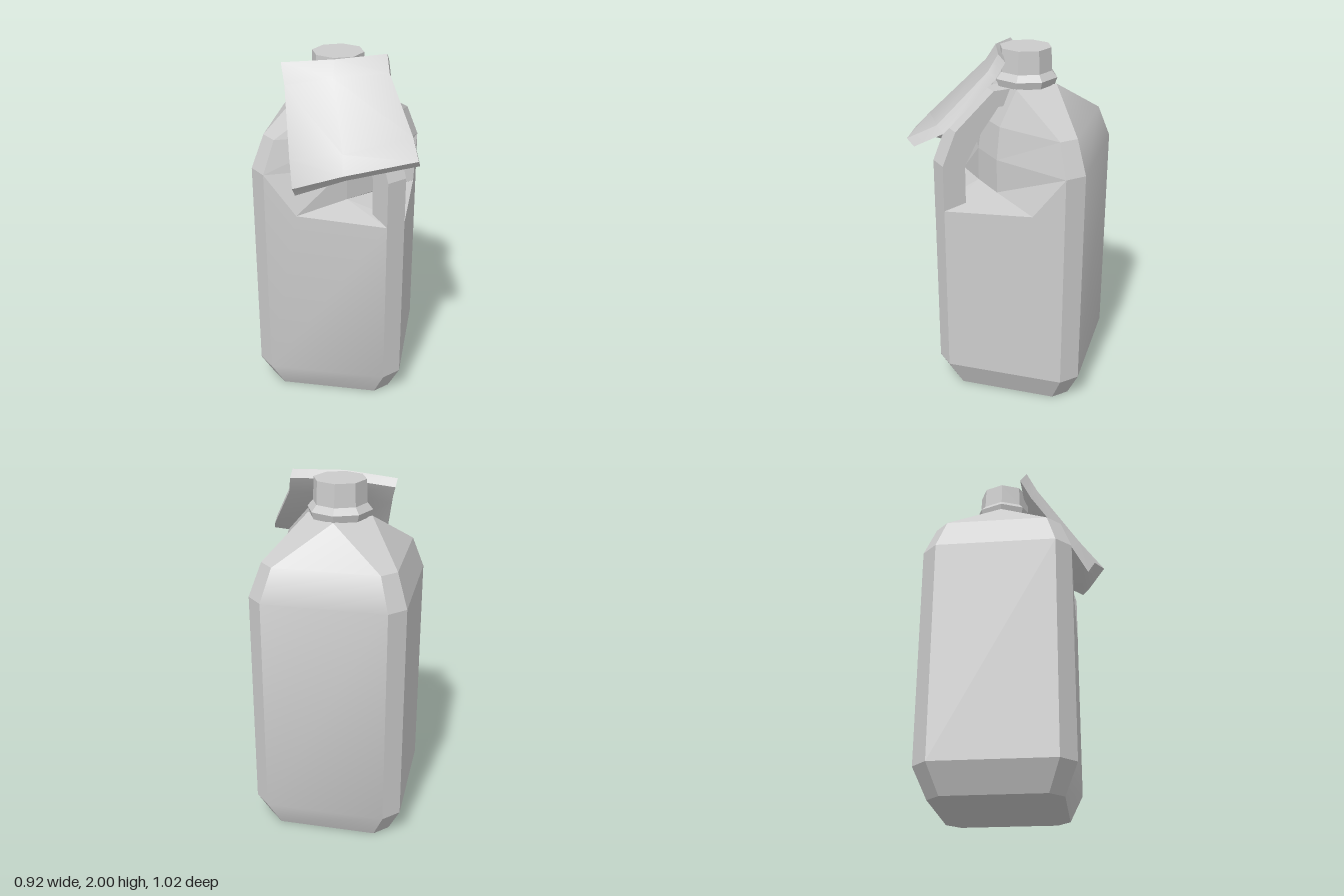
import * as THREE from 'three';
import { toCreasedNormals } from 'three/addons/utils/BufferGeometryUtils.js';

const V = (x, y, z) => new THREE.Vector3(x, y, z);

// Geometry from convex polygons (corners counter-clockwise), each split as a fan
function fromPolygons(polygons, crease) {
  const pos = [];
  for (const p of polygons) {
    for (let i = 1; i < p.length - 1; i++) {
      const tri = [p[0], p[i], p[i + 1]];
      if (new THREE.Triangle(...tri).getArea() < 1e-6) continue;
      for (const v of tri) pos.push(v.x, v.y, v.z);
    }
  }
  const g = new THREE.BufferGeometry();
  g.setAttribute('position', new THREE.Float32BufferAttribute(pos, 3));
  g.computeVertexNormals();
  return toCreasedNormals(g, crease);
}

// Chamfered square: front, right, back, left edges in turn
function ring(y, h, i) {
  return [[-i, h], [i, h], [h, i], [h, -i], [i, -h], [-i, -h], [-h, -i], [-h, i]]
    .map(([x, z]) => V(x, y, z));
}

export function createModel() {
  const model = new THREE.Group();
  const jug = new THREE.Group();
  jug.name = 'jug';
  jug.position.set(-0.04, 0, -0.09);
  model.add(jug);

  const add = (parent, name, geometry, flatShading = false) => {
    const mesh = new THREE.Mesh(geometry, new THREE.MeshStandardMaterial({ color: 0xcccccc, flatShading }));
    mesh.name = name;
    parent.add(mesh);
    return mesh;
  };

  // Body rings from base to neck; the front right corner steps in above the ledge
  const base = ring(0, 0.35, 0.275);
  const low = ring(0.16, 0.42, 0.335);
  const high = ring(1.41, 0.42, 0.335);
  const shoulder = ring(1.59, 0.36, 0.285);
  const neck = ring(1.79, 0.175, 0);
  const recess = (r, y, a, b) => { r[1] = V(a, y, b); r[2] = V(b, y, a); };
  recess(high, 1.41, 0.09, 0.245);
  recess(shoulder, 1.59, 0.08, 0.22);

  // Ledge corners under the handle
  const ledgeA = V(-0.16, 1.18, 0.42), ledgeB = V(0.42, 1.18, -0.16);
  const ledgeF = V(0.335, 1.15, 0.42), ledgeR = V(0.42, 1.15, 0.335);
  const innerA = V(0.09, 1.22, 0.245), innerB = V(0.245, 1.22, 0.09);

  const smooth = [], flat = [];
  for (let j = 0; j < 8; j++) {
    const k = (j + 1) % 8;
    const out = j === 0 || j === 4 ? smooth : flat;
    out.push([base[j], base[k], low[k], low[j]]);
    if (j === 0) out.push([low[0], low[1], ledgeF, ledgeA, high[0]]);
    else if (j === 1) out.push([low[1], low[2], ledgeR, ledgeF]);
    else if (j === 2) out.push([low[3], high[3], ledgeB, ledgeR, low[2]]);
    else out.push([low[j], low[k], high[k], high[j]]);
    const upper = j < 3 ? flat : out;
    upper.push([high[j], high[k], shoulder[k], shoulder[j]]);
    upper.push([shoulder[j], shoulder[k], neck[k], neck[j]]);
  }
  flat.push(
    [...base].reverse(),
    [innerA, ledgeA, ledgeF, ledgeR, ledgeB, innerB],
    [ledgeA, innerA, high[1], high[0]],
    [innerA, innerB, high[2], high[1]],
    [innerB, ledgeB, high[3], high[2]],
  );
  add(jug, 'bodyFrontAndBack', fromPolygons(smooth, 0.5));
  add(jug, 'bodySidesAndRecess', fromPolygons(flat, 0.02));

  // Handle: bent bar in the diagonal plane of the front right corner
  const d = Math.SQRT2;
  const outline = [
    [0.378, 1.13], [0.378, 1.41], [0.322, 1.59], [0.16, 1.78], [0.04, 1.78],
    [0.04, 1.69], [0.14, 1.69], [0.215, 1.56], [0.285, 1.39], [0.285, 1.13],
  ].map(([c, y]) => new THREE.Vector2(c * d, y));
  const bar = new THREE.ExtrudeGeometry(new THREE.Shape(outline), { depth: 0.12, bevelEnabled: false });
  bar.translate(0, 0, -0.06);
  bar.rotateY(-Math.PI / 4);
  add(jug, 'handle', bar, true);

  // Eight-sided cap with a flared rim
  const profile = [[0, 1.785], [0.165, 1.785], [0.178, 1.825], [0.148, 1.86], [0.143, 1.985], [0, 1.985]]
    .map(([r, y]) => new THREE.Vector2(r, y));
  add(jug, 'cap', new THREE.LatheGeometry(profile, 8), true);

  // Hanging tag: a creased plate, rows from top to bottom
  const front = [
    [V(-0.32, 1.955, 0.075), V(-0.03, 1.985, 0.075), V(0.235, 2.0, -0.02)],
    [V(-0.29, 1.85, 0.135), V(-0.03, 1.9, 0.13), V(0.255, 1.91, 0.03)],
    [V(-0.22, 1.53, 0.37), V(0.07, 1.6, 0.43), V(0.41, 1.65, 0.26)],
    [V(-0.19, 1.4, 0.455), V(0.085, 1.515, 0.51), V(0.455, 1.58, 0.41)],
  ];
  const back = front.map(row => row.map(p => p.clone().add(V(0.005, -0.04, -0.04))));
  back[3][0].y = 1.345;
  const plate = [];
  for (let r = 0; r < 3; r++) {
    for (let c = 0; c < 2; c++) {
      plate.push([front[r][c], front[r + 1][c], front[r + 1][c + 1], front[r][c + 1]]);
      plate.push([back[r][c], back[r][c + 1], back[r + 1][c + 1], back[r + 1][c]]);
    }
    plate.push([front[r][0], back[r][0], back[r + 1][0], front[r + 1][0]]);
    plate.push([front[r][2], front[r + 1][2], back[r + 1][2], back[r][2]]);
  }
  for (let c = 0; c < 2; c++) {
    plate.push([front[0][c], front[0][c + 1], back[0][c + 1], back[0][c]]);
    plate.push([front[3][c], back[3][c], back[3][c + 1], front[3][c + 1]]);
  }
  add(model, 'tag', fromPolygons(plate, 0.6));

  return model;
}
